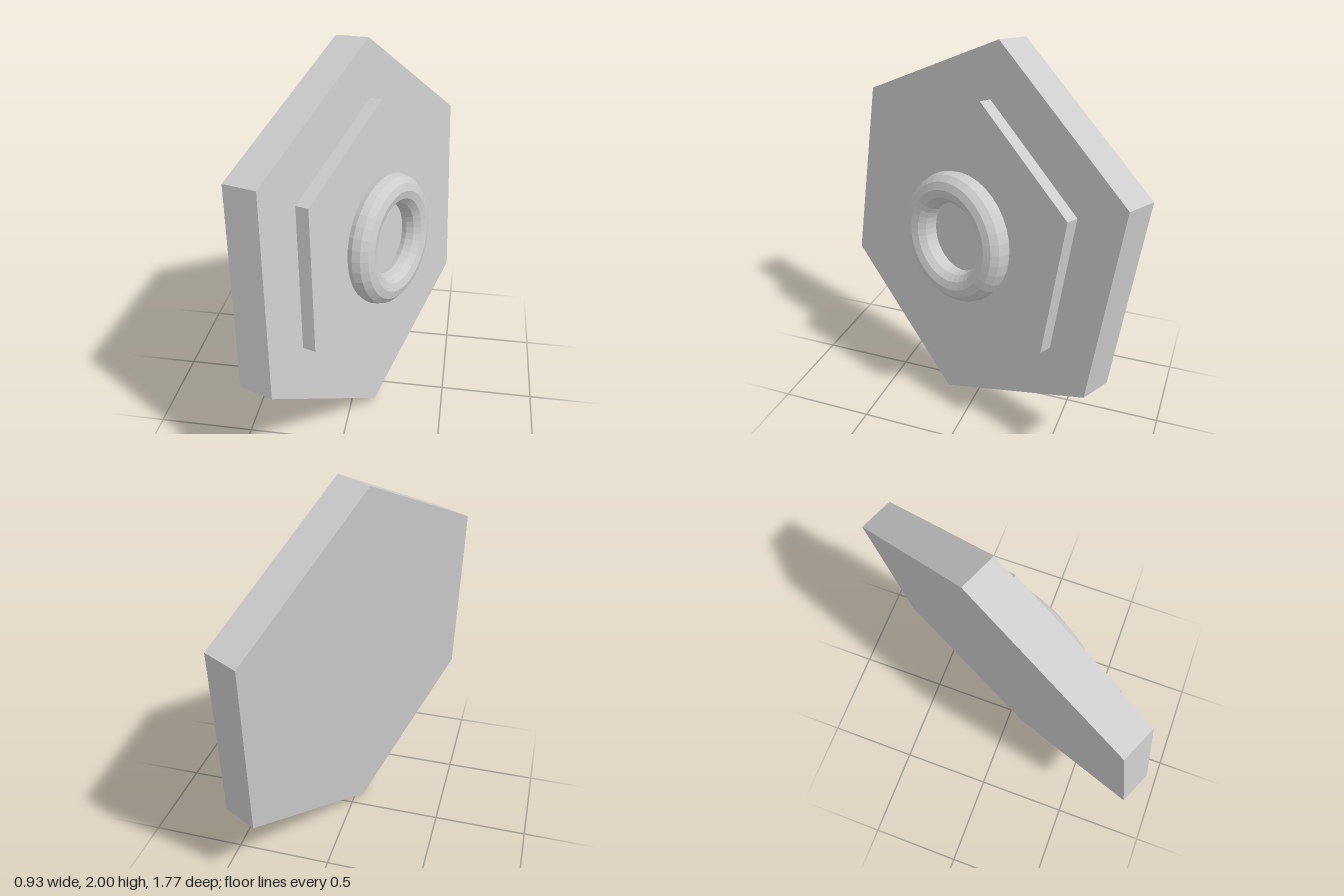
import * as THREE from 'three';

export function createModel() {
  const model = new THREE.Group();
  model.name = 'hexagonalPlaque';

  const grey = new THREE.MeshStandardMaterial({ color: 0xcccccc });
  grey.name = 'light grey';
  grey.flatShading = true;

  const add = (name, geometry, z) => {
    const mesh = new THREE.Mesh(geometry, grey);
    mesh.name = name;
    mesh.position.z = z;
    model.add(mesh);
  };
  // Hexagonal slab with its faces along z and a corner up
  const hexSlab = (radius, depth) =>
    new THREE.CylinderGeometry(radius, radius, depth, 6).rotateX(Math.PI / 2);

  // Local z = 0 is the front face of the base plate
  const baseDepth = 0.188;
  const stepDepth = 0.0714;
  add('basePlate', hexSlab(1, baseDepth), -baseDepth / 2);
  add('raisedPlate', hexSlab(0.714, stepDepth), stepDepth / 2);

  // Ring half sunk into the raised plate
  add('ring', new THREE.TorusGeometry(0.26, 0.08, 12, 36), stepDepth + 0.0286);

  // Tilt the whole plaque: facing direction and corner direction
  const facing = new THREE.Vector3(0.909, 0.0914, 0.406).normalize();
  const corner = new THREE.Vector3(-0.0425, 0.991, -0.128);
  const side = new THREE.Vector3().crossVectors(corner, facing).normalize();
  corner.crossVectors(facing, side);
  model.quaternion.setFromRotationMatrix(new THREE.Matrix4().makeBasis(side, corner, facing));
  model.position.set(0.085, 1.009, 0.038);

  const root = new THREE.Group();
  root.name = 'model';
  root.add(model);
  return root;
}
